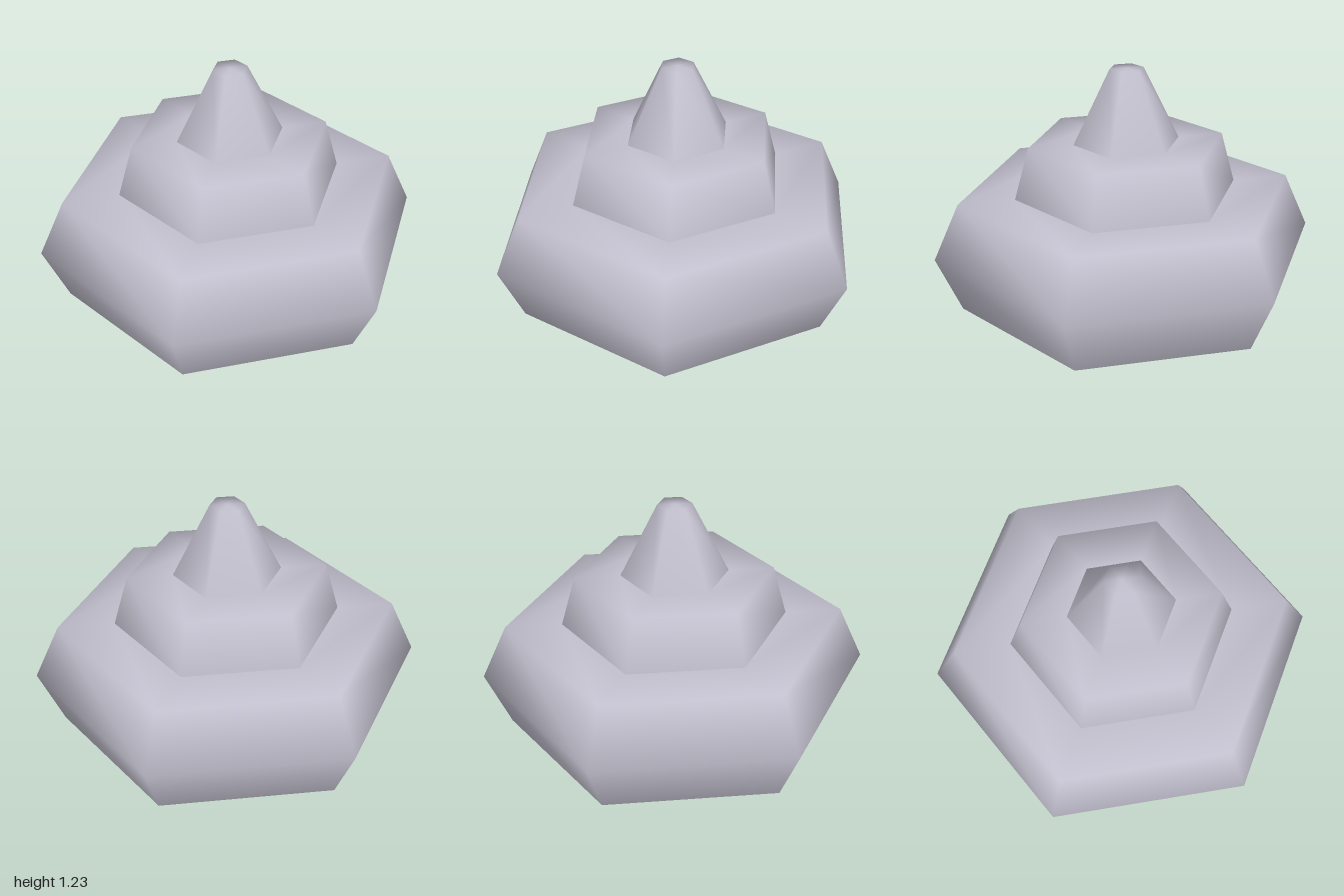
import * as THREE from 'three';

const SIDES = 6;

// Hexagonal shell turned from a [radius, height] profile, corners on the z axis
function hexTier(name, profile, material) {
  const points = profile.map(([r, y]) => new THREE.Vector2(r, y));
  const mesh = new THREE.Mesh(new THREE.LatheGeometry(points, SIDES), material);
  mesh.name = name;
  return mesh;
}

export function createModel() {
  const group = new THREE.Group();
  group.name = 'tieredHexagon';
  const paleGrey = new THREE.MeshStandardMaterial({ color: 0xc2c0ce });
  paleGrey.name = 'pale grey';

  group.add(
    // flat, hard-edged underside
    hexTier('underside', [[0, 0], [0.87, 0]], paleGrey),
    // bulging base with its softened top ledge
    hexTier('base', [[0.87, 0], [1, 0.29], [0.87, 0.58], [0.58, 0.58]], paleGrey),
    // middle tier with its ledge
    hexTier('middleTier', [[0.58, 0.58], [0.507, 0.847], [0.275, 0.847]], paleGrey),
    // tapering peak and its small cap
    hexTier('peak', [[0.275, 0.847], [0.087, 1.23], [0, 1.23]], paleGrey),
  );
  return group;
}
